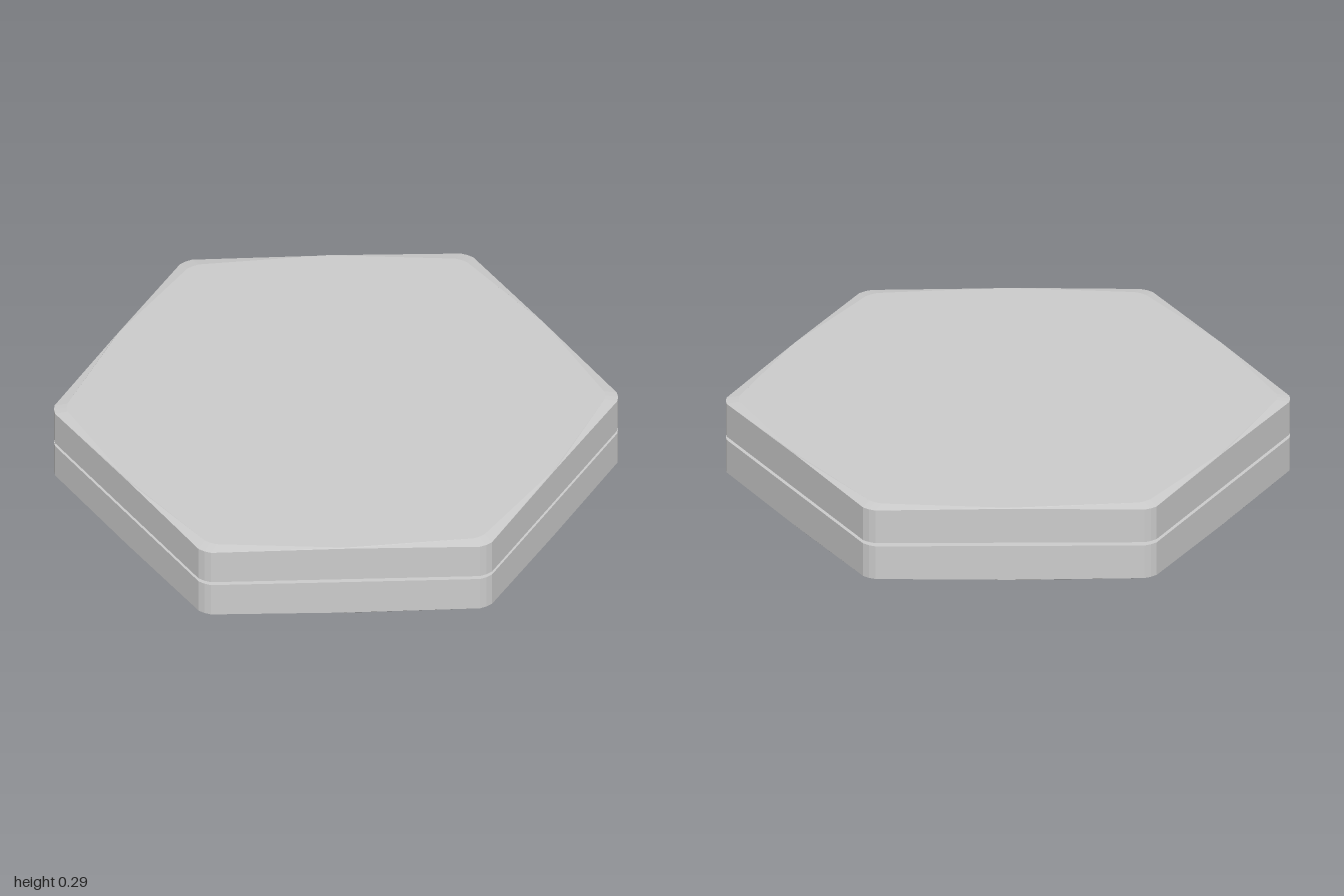
import * as THREE from 'three';

const HEIGHT = 0.287;
const GROOVE = [0.137, 0.15];
const APOTHEM = 0.876;
const SIDES = 6;

// Hexagon outline: a two-facet rounded corner and one midpoint per side.
// Corners and midpoints get their own scale and height.
function ring(cornerScale, cornerY, midScale = cornerScale, midY = cornerY) {
  const corner = [[-0.025, 0.997], [0, 1], [0.025, 0.997]];
  const points = [];
  const up = new THREE.Vector3(0, 1, 0);
  for (let k = 0; k < SIDES; k++) {
    const angle = (k * Math.PI * 2) / SIDES;
    for (const [x, z] of corner) {
      points.push(new THREE.Vector3(x * cornerScale, cornerY, z * cornerScale).applyAxisAngle(up, angle));
    }
    points.push(new THREE.Vector3(0, midY, APOTHEM * midScale).applyAxisAngle(up, angle + Math.PI / SIDES));
  }
  return points;
}

// Closed solid through rings listed from bottom to top
function loft(rings) {
  const n = rings[0].length;
  const positions = [];
  const tri = (...corners) => corners.forEach((p) => positions.push(p.x, p.y, p.z));
  const first = rings[0];
  const last = rings[rings.length - 1];
  const bottom = new THREE.Vector3(0, first[0].y, 0);
  const top = new THREE.Vector3(0, last[0].y, 0);
  for (let i = 0; i < n; i++) {
    const j = (i + 1) % n;
    for (let r = 0; r < rings.length - 1; r++) {
      const lo = rings[r];
      const hi = rings[r + 1];
      tri(lo[i], lo[j], hi[j]);
      tri(lo[i], hi[j], hi[i]);
    }
    tri(bottom, first[j], first[i]);
    tri(top, last[i], last[j]);
  }
  const geometry = new THREE.BufferGeometry();
  geometry.setAttribute('position', new THREE.Float32BufferAttribute(positions, 3));
  geometry.computeVertexNormals();
  return geometry;
}

export function createModel() {
  const group = new THREE.Group();
  group.name = 'hexagonalCase';
  const material = new THREE.MeshStandardMaterial({ color: 0xcccccc, flatShading: true });
  const add = (name, rings) => {
    const mesh = new THREE.Mesh(loft(rings), material);
    mesh.name = name;
    group.add(mesh);
  };

  // Lower shell, chamfered most strongly at the bottom corners
  add('lowerShell', [
    ring(0.954, 0, 0.997, 0),
    ring(1, 0.008, 1, 0.003),
    ring(1, GROOVE[0]),
  ]);

  // Recessed core that shows as the groove between the shells
  add('grooveCore', [ring(0.96, GROOVE[0] - 0.01), ring(0.96, GROOVE[1] + 0.01)]);

  // Upper shell mirrors the lower one
  add('upperShell', [
    ring(1, GROOVE[1]),
    ring(1, HEIGHT - 0.008, 1, HEIGHT - 0.003),
    ring(0.954, HEIGHT, 0.997, HEIGHT),
  ]);

  return group;
}
